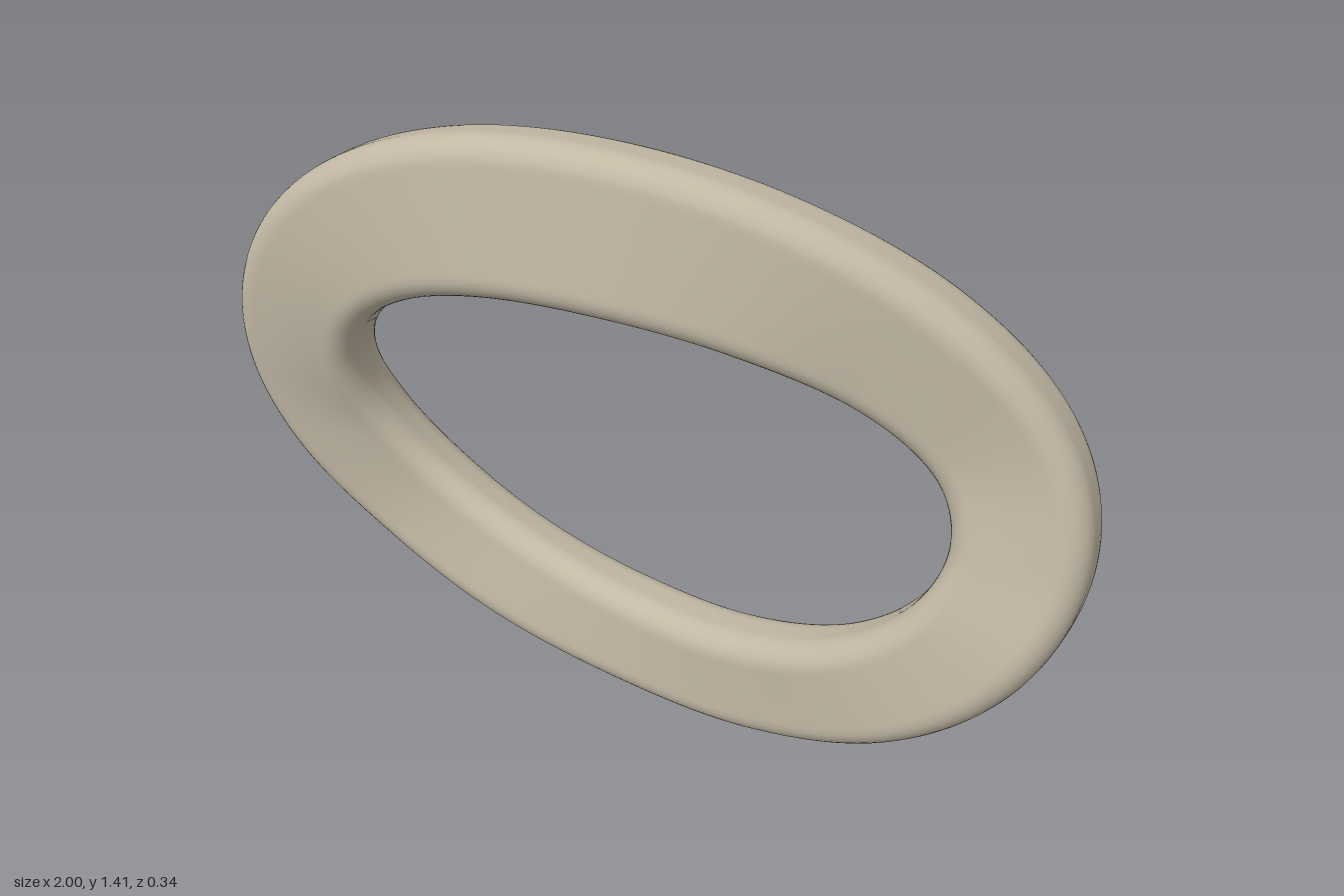
import * as THREE from 'three';

const SEGMENTS = 192;
const HALF_THICK = 0.075;
const RADIUS = 0.055;

// depth of the outer and inner rims at sixteen even steps round the link
const outerDepth = [-0.02, -0.052, -0.027, 0.018, 0.05, 0.055, 0.048, 0.035, 0.015, -0.02, -0.065, -0.065, -0.05, 0.005, 0.053, 0.042];
const innerDepth = [-0.01, -0.035, -0.01, 0.05, 0.092, 0.095, 0.075, 0.045, 0, -0.065, -0.1, -0.1, -0.068, -0.012, 0.028, 0.025];

// Uniform periodic cubic through the depth values
function depthCurve(values) {
  const n = values.length;
  return (t) => {
    const f = t * n, i = Math.floor(f), s = f - i;
    const [a, b, c, d] = [-1, 0, 1, 2].map((k) => values[(i + k + n) % n]);
    return b + 0.5 * s * (c - a + s * (2 * a - 5 * b + 4 * c - d + s * (3 * (b - c) + d - a)));
  };
}

// Oval rim with a wavy depth; leanX shifts the crests, leanY lifts the ends
function rim(cx, cy, rx, ry, leanX, leanY, depths) {
  const depth = depthCurve(depths);
  return (t) => {
    const u = ((t % 1) + 1) % 1, a = u * Math.PI * 2;
    const c = Math.cos(a), s = Math.sin(a);
    return new THREE.Vector3(cx + rx * c + leanX * s * s, cy + ry * s + leanY * c * c, depth(u));
  };
}

// Rounded rectangle, anticlockwise, in (width, thickness)
function section(halfWidth) {
  const pts = [];
  const w = halfWidth - RADIUS, h = HALF_THICK - RADIUS;
  [[1, 1], [-1, 1], [-1, -1], [1, -1]].forEach(([sx, sy], q) => {
    for (let k = 0; k <= 8; k++) {
      const a = (q + k / 8) * Math.PI / 2;
      pts.push([sx * w + RADIUS * Math.cos(a), sy * h + RADIUS * Math.sin(a)]);
    }
    // extra points along the two broad faces keep them flat
    if (q % 2 === 0) {
      for (const f of [0.9, 0.45, 0, -0.45, -0.9]) pts.push([sx * w * f, sy * HALF_THICK]);
    }
  });
  return pts;
}

function twistedLink() {
  const outer = rim(0, 0.705, 1, 0.703, -0.04, 0.01, outerDepth);
  const inner = rim(0.015, 0.658, 0.705, 0.402, -0.04, 0.033, innerDepth);
  const middle = (t) => outer(t).add(inner(t)).multiplyScalar(0.5);
  const positions = [], index = [];
  let count = 0;
  for (let i = 0; i < SEGMENTS; i++) {
    const t = i / SEGMENTS;
    const centre = middle(t);
    const across = outer(t).sub(inner(t));
    const halfWidth = across.length() / 2;
    across.normalize();
    const along = middle(t + 0.004).sub(middle(t - 0.004));
    const normal = across.clone().cross(along).normalize();
    const pts = section(halfWidth);
    count = pts.length;
    for (const [u, v] of pts) {
      const p = centre.clone().addScaledVector(across, u).addScaledVector(normal, v);
      positions.push(p.x, p.y, p.z);
    }
  }
  for (let i = 0; i < SEGMENTS; i++) {
    for (let j = 0; j < count; j++) {
      const ni = (i + 1) % SEGMENTS, nj = (j + 1) % count;
      const a = i * count + j, b = ni * count + j, c = ni * count + nj, d = i * count + nj;
      index.push(a, b, c, a, c, d);
    }
  }
  const geometry = new THREE.BufferGeometry();
  geometry.setAttribute('position', new THREE.Float32BufferAttribute(positions, 3));
  geometry.setIndex(index);
  geometry.computeVertexNormals();
  return geometry;
}

export function createModel() {
  const group = new THREE.Group();
  group.name = 'chainLink';
  const metal = new THREE.MeshStandardMaterial({ color: 0xc2b8a4 });
  metal.name = 'warm beige metal';
  const link = new THREE.Mesh(twistedLink(), metal);
  link.name = 'twistedLink';
  group.add(link);
  return group;
}
